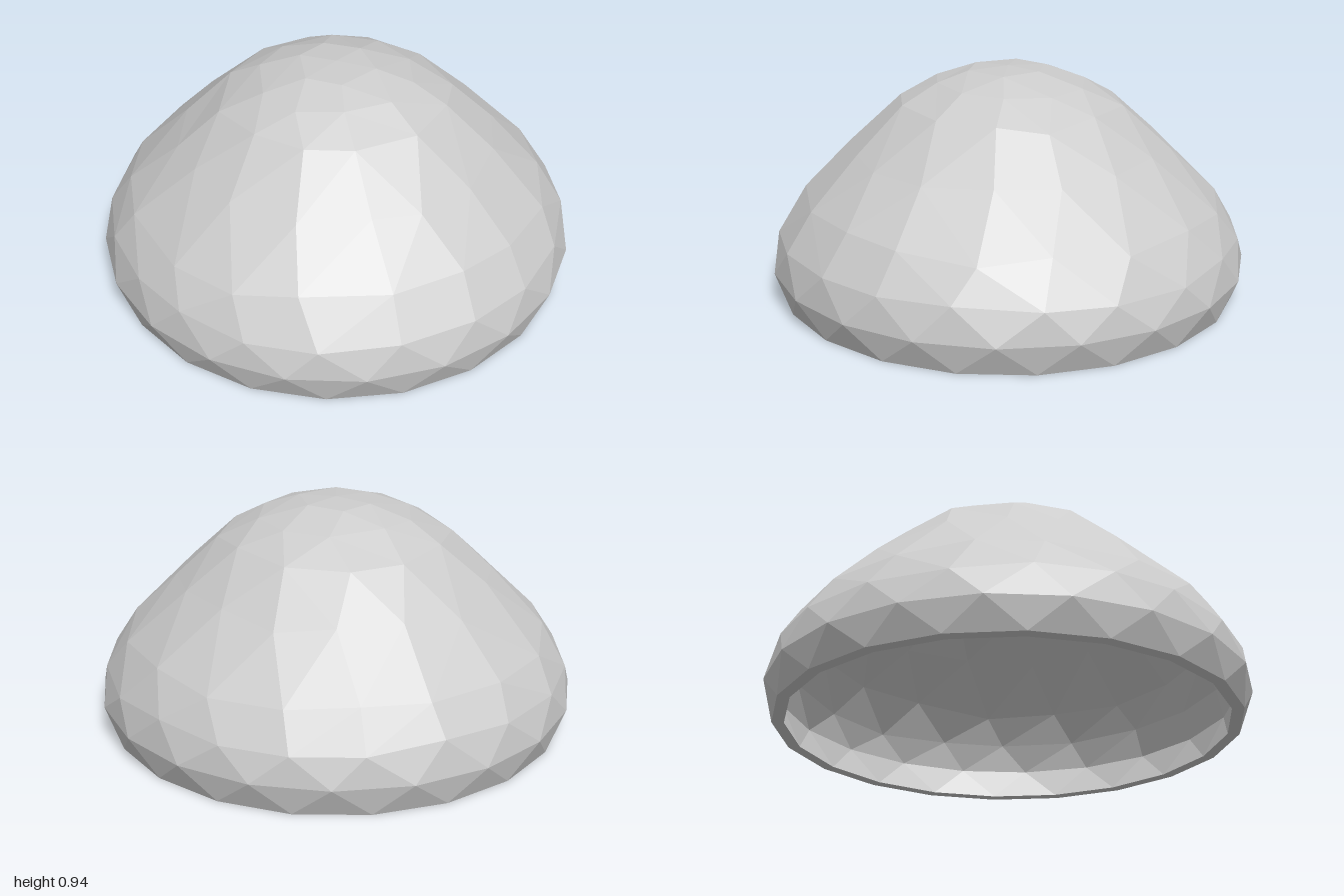
import * as THREE from 'three';

// Small seeded noise in -1..1 for the uneven facets
let seed = 7;
function jitter() {
  seed = (seed * 16807) % 2147483647;
  return (seed / 2147483647) * 2 - 1;
}

// Rings as [radius, height, point count, angular offset in steps, unevenness]
const outerProfile = [
  [0.96, 0, 20, 0.5, 0],
  [1, 0.125, 20, 0, 0],
  [0.97, 0.255, 20, 0.5, 0.1],
  [0.88, 0.4, 18, 0, 0.12],
  [0.67, 0.61, 16, 0.5, 0.15],
  [0.47, 0.8, 12, 0, 0.12],
  [0.315, 0.885, 10, 0.5, 0.1],
  [0.16, 0.937, 6, 0, 0.1],
  [0, 0.945, 1, 0, 0],
];
const innerProfile = [
  [0.91, 0, 20, 0.5, 0],
  [0.945, 0.13, 20, 0, 0],
  [0.91, 0.24, 18, 0.5, 0.1],
  [0.83, 0.37, 16, 0, 0.1],
  [0.63, 0.57, 14, 0.5, 0.12],
  [0.43, 0.755, 10, 0, 0.1],
  [0.28, 0.835, 8, 0.5, 0.1],
  [0.13, 0.885, 6, 0, 0.1],
  [0, 0.895, 1, 0, 0],
];

// Points of every ring; uneven ones slide along the profile and around it
function makeRings(profile) {
  return profile.map(([r, y, n, offset, uneven], k) => {
    const before = profile[Math.max(k - 1, 0)];
    const after = profile[Math.min(k + 1, profile.length - 1)];
    return Array.from({ length: n }, (_, i) => {
      const slide = jitter() * uneven;
      const angle = ((i + offset + jitter() * uneven) / n) * Math.PI * 2;
      const next = slide > 0 ? after : before;
      const radius = r + (next[0] - r) * Math.abs(slide);
      const height = y + (next[1] - y) * Math.abs(slide);
      return { angle, p: [Math.cos(angle) * radius, height, -Math.sin(angle) * radius] };
    });
  });
}

// Joins successive rings, of any point counts, with triangles
function loft(rings) {
  const positions = [];
  const at = (ring, i) => ring[i % ring.length];
  const angleAt = (ring, i) => at(ring, i).angle + Math.floor(i / ring.length) * Math.PI * 2;
  for (let k = 0; k < rings.length - 1; k++) {
    const a = rings[k], b = rings[k + 1];
    const endA = a.length === 1 ? 0 : a.length;
    const endB = b.length === 1 ? 0 : b.length;
    let i = 0, j = 0;
    while (i < endA || j < endB) {
      const stepA = j >= endB || (i < endA && angleAt(a, i + 1) <= angleAt(b, j + 1));
      if (stepA) {
        positions.push(...at(a, i).p, ...at(a, i + 1).p, ...at(b, j).p);
        i++;
      } else {
        positions.push(...at(a, i).p, ...at(b, j + 1).p, ...at(b, j).p);
        j++;
      }
    }
  }
  const geometry = new THREE.BufferGeometry();
  geometry.setAttribute('position', new THREE.Float32BufferAttribute(positions, 3));
  geometry.computeVertexNormals();
  return geometry;
}

export function createModel() {
  seed = 7;
  const group = new THREE.Group();
  group.name = 'hollowDome';
  const material = new THREE.MeshStandardMaterial({ color: 0xcccccc, flatShading: true });
  const outer = makeRings(outerProfile);
  const inner = makeRings(innerProfile);

  const add = (name, rings) => {
    const mesh = new THREE.Mesh(loft(rings), material);
    mesh.name = name;
    group.add(mesh);
  };
  add('outerShell', outer);
  // Bottom edge between the two shells
  add('rim', [inner[0], outer[0]]);
  // Reversed order turns the faces towards the hollow
  add('innerShell', [...inner].reverse());
  return group;
}
